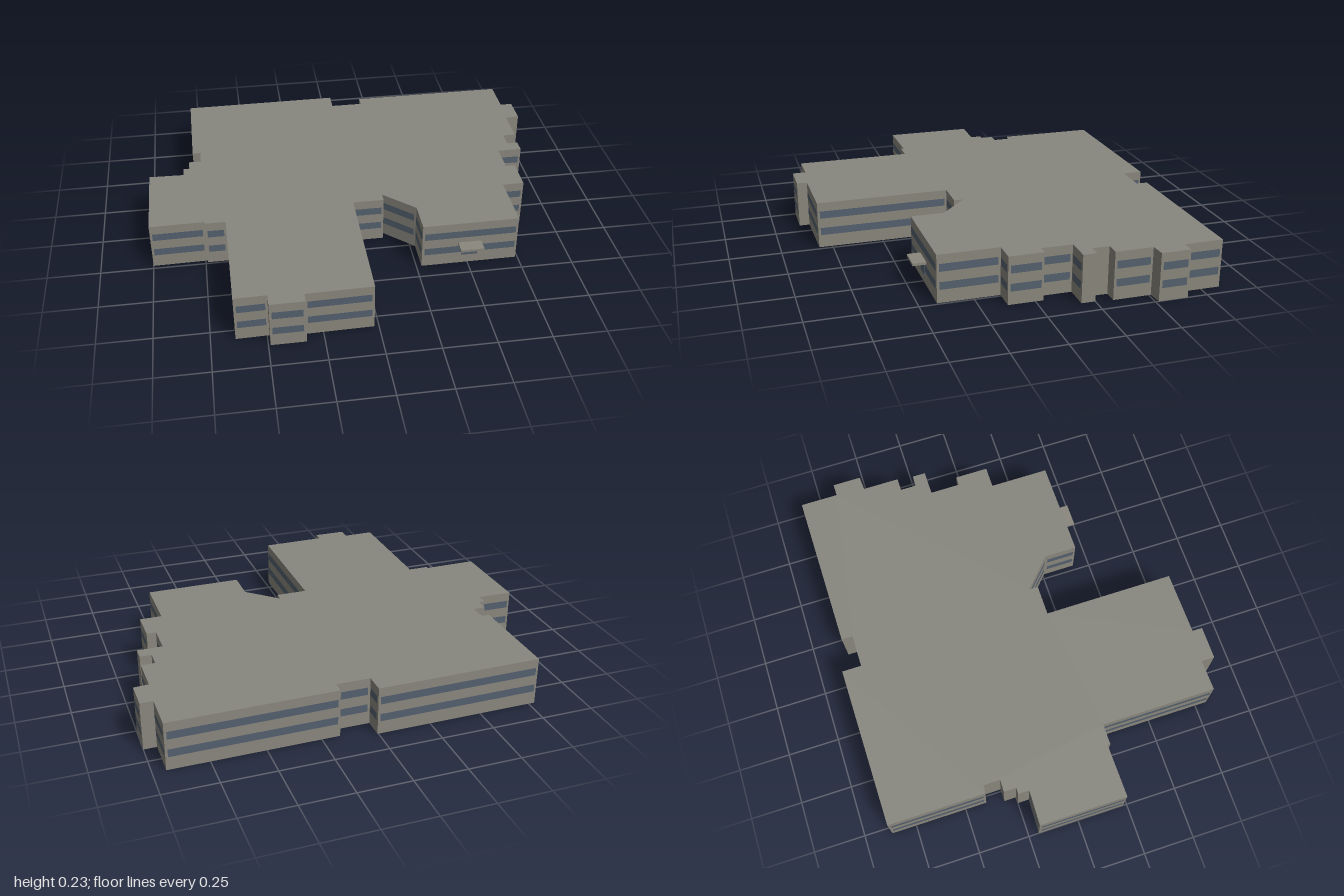
import * as THREE from 'three';

const HEIGHT = 0.23;
const BANDS = [0.082, 0.168];   // centre heights of the window rows
const BAND_HEIGHT = 0.037;
const MIN_WINDOW_WALL = 0.085;  // shorter walls stay blank
const MARGIN = 0.011;

// Footprint corners [x, z], clockwise seen from above
const FOOTPRINT = [
  // back
  [-0.78, -0.87], [0.005, -0.875], [0.005, -0.78], [0.165, -0.78], [0.165, -0.835], [0.94, -0.84],
  // stepped side at +x
  [0.94, -0.655], [1, -0.655], [1, -0.515], [0.93, -0.51], [0.93, -0.33], [0.865, -0.33],
  [0.865, -0.25], [0.92, -0.25], [0.92, -0.185], [0.8, -0.185], [0.8, -0.037], [0.845, -0.037],
  [0.845, 0.127], [0.74, 0.127],
  // entrance wing and slanted court wall
  [0.74, 0.417], [0.275, 0.42], [0.275, 0.26], [0.13, 0.125], [0.13, 0.17], [-0.02, 0.17],
  // long front wing
  [-0.02, 0.815], [-0.33, 0.82], [-0.33, 0.87], [-0.49, 0.87], [-0.49, 0.805], [-0.64, 0.808],
  // side wing at -x
  [-0.64, 0.24], [-0.74, 0.24], [-0.74, 0.226], [-1, 0.23], [-1, -0.2], [-0.83, -0.195],
  [-0.83, -0.25], [-0.8, -0.25], [-0.8, -0.31], [-0.74, -0.31], [-0.74, -0.39], [-0.78, -0.395],
];

function material(name, color, side = THREE.FrontSide) {
  const m = new THREE.MeshStandardMaterial({ color, side });
  m.name = name;
  return m;
}

export function createModel() {
  const wallMat = material('wall grey', 0x8a877d, THREE.DoubleSide);
  const roofMat = material('roof grey', 0x87867e, THREE.DoubleSide);
  const glassMat = material('window blue', 0x54616f);
  const model = new THREE.Group();
  model.name = 'building';

  const add = (parent, name, geometry, mat, x = 0, y = 0, z = 0) => {
    const mesh = new THREE.Mesh(geometry, mat);
    mesh.name = name;
    mesh.position.set(x, y, z);
    parent.add(mesh);
    return mesh;
  };

  // Flat roof
  const outline = new THREE.Shape(FOOTPRINT.map(([x, z]) => new THREE.Vector2(x, -z)));
  add(model, 'roof', new THREE.ShapeGeometry(outline).rotateX(-Math.PI / 2), roofMat, 0, HEIGHT, 0);

  // One outer wall per edge, with two window rows on the longer ones; no floor
  FOOTPRINT.forEach(([x0, z0], i) => {
    const [x1, z1] = FOOTPRINT[(i + 1) % FOOTPRINT.length];
    const dx = x1 - x0, dz = z1 - z0, length = Math.hypot(dx, dz);
    const side = new THREE.Group();
    side.name = 'facade';
    side.position.set((x0 + x1) / 2, 0, (z0 + z1) / 2);
    side.rotation.y = Math.atan2(dz, -dx);
    add(side, 'wall', new THREE.PlaneGeometry(length, HEIGHT), wallMat, 0, HEIGHT / 2, 0);
    if (length > MIN_WINDOW_WALL) {
      for (const y of BANDS) {
        add(side, 'windowBand', new THREE.PlaneGeometry(length - 2 * MARGIN, BAND_HEIGHT), glassMat, 0, y, 0.002);
      }
    }
    model.add(side);
  });

  // Entrance door under a thin canopy
  add(model, 'door', new THREE.BoxGeometry(0.075, 0.06, 0.006), glassMat, 0.507, 0.078, 0.421);
  add(model, 'canopy', new THREE.BoxGeometry(0.113, 0.012, 0.064), wallMat, 0.506, 0.114, 0.45);

  return model;
}
